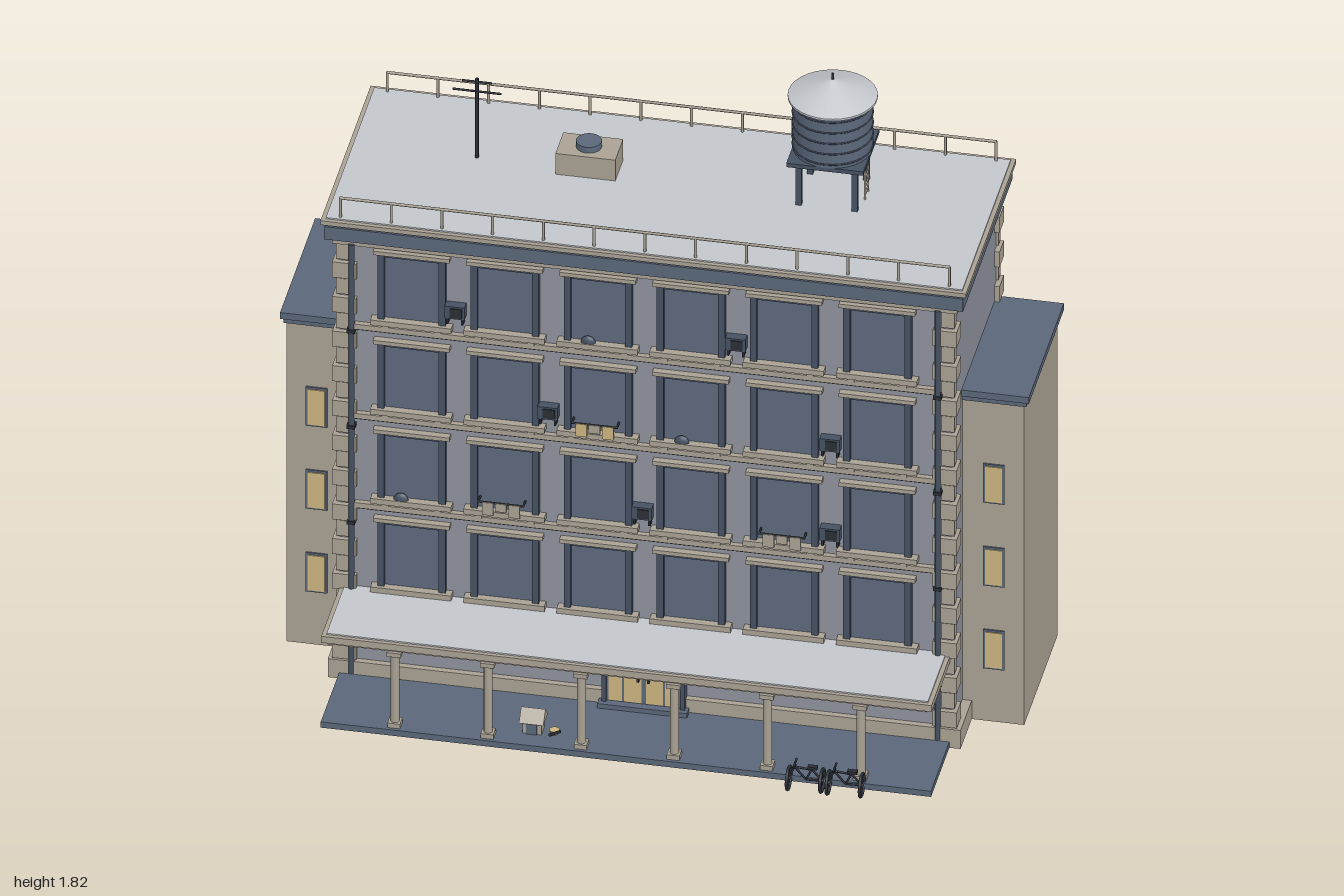
import * as THREE from 'three';

const mat = (name, color) => {
  const m = new THREE.MeshStandardMaterial({ color });
  m.name = name;
  return m;
};

export function createModel() {
  const wall = mat('wall grey', 0x8f939d);
  const stone = mat('beige stone', 0xaaa294);
  const slate = mat('slate blue', 0x5b687b);
  const frame = mat('dark slate frame', 0x465163);
  const glass = mat('window glass', 0x5d6a7e);
  const roofGrey = mat('pale roof', 0xc3c6cb);
  const amber = mat('lit amber', 0xccb581);
  const dark = mat('dark iron', 0x2b2f36);

  const root = new THREE.Group();
  root.name = 'apartmentBuilding';
  const group = (name, parent = root) => {
    const g = new THREE.Group();
    g.name = name;
    parent.add(g);
    return g;
  };
  const add = (p, name, geo, m, x = 0, y = 0, z = 0) => {
    const mesh = new THREE.Mesh(geo, m);
    mesh.name = name;
    mesh.position.set(x, y, z);
    p.add(mesh);
    return mesh;
  };
  // Box given by its limits on each axis
  const box = (p, name, m, x0, x1, y0, y1, z0, z1) =>
    add(p, name, new THREE.BoxGeometry(x1 - x0, y1 - y0, z1 - z0), m, (x0 + x1) / 2, (y0 + y1) / 2, (z0 + z1) / 2);
  // Thin rod between two points
  const rod = (p, name, m, a, b, r, n = 6) => {
    const A = new THREE.Vector3(...a), B = new THREE.Vector3(...b);
    const mesh = add(p, name, new THREE.CylinderGeometry(r, r, A.distanceTo(B), n), m);
    mesh.position.copy(A).add(B).multiplyScalar(0.5);
    mesh.quaternion.setFromUnitVectors(new THREE.Vector3(0, 1, 0), B.sub(A).normalize());
    return mesh;
  };

  // Main block, plinth and cornice
  const body = group('mainBlock');
  box(body, 'walls', wall, -0.82, 0.82, 0.03, 1.39, -0.43, 0.155);
  box(body, 'plinth', stone, -0.845, 0.845, 0.01, 0.068, -0.447, 0.172);
  box(body, 'corniceMoulding', stone, -0.835, 0.835, 1.37, 1.388, -0.442, 0.168);
  box(body, 'corniceBand', slate, -0.853, 0.853, 1.388, 1.428, -0.46, 0.18);
  box(body, 'corniceFillet', stone, -0.846, 0.846, 1.428, 1.436, -0.452, 0.172);
  box(body, 'corniceCap', stone, -0.862, 0.862, 1.436, 1.449, -0.467, 0.186);
  box(body, 'roofSurface', roofGrey, -0.85, 0.85, 1.445, 1.453, -0.455, 0.174);

  // Alternating corner quoins
  const quoins = group('quoins');
  const step = 1.302 / 24;
  for (let i = 0; i < 24; i++) {
    const big = i % 2 === 0, y = 0.068 + i * step;
    const out = big ? 0.014 : 0.006, len = big ? 0.05 : 0.028;
    for (const s of [-1, 1]) {
      const x0 = s * (0.82 + out), x1 = s * (0.82 - len);
      const a = Math.min(x0, x1), b = Math.max(x0, x1);
      box(quoins, 'frontQuoin', stone, a, b, y + 0.003, y + step - 0.003, 0.155 - len + 0.008, 0.155 + out);
      box(quoins, 'backQuoin', stone, a, b, y + 0.003, y + step - 0.003, -0.43 - out, -0.43 + len - 0.008);
    }
  }

  // Storey bands and downpipes
  const facade = group('facadeTrim');
  for (const y of [0.285, 0.558, 0.838, 1.118]) {
    box(facade, 'storeyBand', stone, -0.775, 0.775, y - 0.008, y + 0.008, 0.15, 0.17);
    box(facade, 'storeyBandShadowLine', frame, -0.775, 0.775, y - 0.013, y - 0.008, 0.15, 0.164);
  }
  for (const s of [-1, 1]) {
    rod(facade, 'downpipe', frame, [s * 0.783, 0.03, 0.168], [s * 0.783, 1.375, 0.168], 0.008, 8);
    for (const y of [0.2, 0.5, 0.8, 1.1]) box(facade, 'pipeClip', dark, s * 0.783 - 0.011, s * 0.783 + 0.011, y, y + 0.01, 0.15, 0.178);
  }

  // Four rows of six windows
  const columns = [-0.622, -0.373, -0.124, 0.124, 0.373, 0.622];
  for (const y of [0.31, 0.588, 0.868, 1.148]) {
    for (const x of columns) {
      const w = group('window');
      w.position.set(x, y, 0.155);
      box(w, 'glass', glass, -0.078, 0.078, 0, 0.205, 0, 0.004);
      for (const s of [-1, 1]) {
        box(w, 'jamb', frame, s * 0.082 - 0.009, s * 0.082 + 0.009, 0.004, 0.208, 0, 0.016);
        box(w, 'sillBracket', stone, s * 0.07 - 0.009, s * 0.07 + 0.009, -0.026, -0.008, 0, 0.018);
      }
      box(w, 'headRail', frame, -0.091, 0.091, 0.196, 0.205, 0, 0.012);
      box(w, 'lintel', stone, -0.102, 0.102, 0.205, 0.217, 0, 0.02);
      box(w, 'sill', stone, -0.108, 0.108, -0.012, 0.004, 0, 0.026);
    }
  }

  // Air conditioners between the windows
  for (const [x, y] of [[-0.505, 1.2], [0.245, 1.2], [-0.257, 0.918], [0.497, 0.918], [-0.005, 0.637], [0.497, 0.637]]) {
    const ac = group('airConditioner');
    ac.position.set(x, y, 0.155);
    box(ac, 'casing', frame, -0.027, 0.027, -0.016, 0.022, 0, 0.026);
    box(ac, 'grille', dark, -0.012, 0.02, -0.011, 0.017, 0.026, 0.029);
    for (const s of [-1, 1]) box(ac, 'bracket', dark, s * 0.02 - 0.003, s * 0.02 + 0.003, -0.034, -0.016, 0, 0.024);
  }

  // Laundry racks and small sill ornaments
  for (const [x, y, m] of [[-0.13, 0.888, amber], [-0.38, 0.608, stone], [0.37, 0.608, stone]]) {
    const rack = group('laundryRack');
    rack.position.set(x, y, 0.185);
    rod(rack, 'line', dark, [-0.062, 0.016, 0], [0.062, 0.016, 0], 0.003);
    [-0.035, 0, 0.036].forEach((cx, i) => box(rack, 'cloth', i === 1 ? stone : m, cx - 0.015, cx + 0.015, i === 1 ? -0.008 : -0.022, 0.017, -0.003, 0.004));
    for (const s of [-1, 1]) rod(rack, 'arm', dark, [s * 0.06, 0.016, -0.03], [s * 0.06, 0.016, 0], 0.003);
  }
  for (const [x, y] of [[-0.15, 1.152], [0.1, 0.872], [-0.65, 0.592]]) {
    const pot = add(facade, 'sillOrnament', new THREE.SphereGeometry(0.02, 10, 5, 0, Math.PI * 2, 0, Math.PI / 2), frame, x, y, 0.17);
    pot.scale.z = 0.5;
  }

  // Side wings with narrow lit windows
  for (const s of [-1, 1]) {
    const wing = group(s > 0 ? 'leftWing' : 'rightWing');
    const wbox = (name, m, a, b, ...r) => box(wing, name, m, Math.min(s * a, s * b), Math.max(s * a, s * b), ...r);
    wbox('wingWalls', stone, 0.8, 0.985, 0.01, 1.02, -0.405, 0.027);
    wbox('wingEaves', slate, 0.8, 0.992, 1.012, 1.027, -0.41, 0.033);
    wbox('wingRoof', slate, 0.8, 1, 1.027, 1.047, -0.417, 0.039);
    for (const y of [0.237, 0.497, 0.757]) {
      wbox('windowFrame', slate, 0.876, 0.933, y - 0.061, y + 0.061, 0.025, 0.031);
      wbox('litPane', amber, 0.882, 0.927, y - 0.055, y + 0.055, 0.03, 0.034);
    }
  }

  // Porch with canopy and columns
  const porch = group('porch');
  box(porch, 'porchFloor', slate, -0.815, 0.815, 0.01, 0.028, 0.15, 0.41);
  box(porch, 'canopyEdge', stone, -0.815, 0.815, 0.272, 0.292, 0.15, 0.403);
  box(porch, 'canopyTop', roofGrey, -0.803, 0.803, 0.288, 0.296, 0.15, 0.392);
  box(porch, 'canopyBeam', stone, -0.8, 0.8, 0.262, 0.272, 0.375, 0.392);
  for (const x of columns) {
    box(porch, 'columnBase', stone, x - 0.017, x + 0.017, 0.028, 0.042, 0.367, 0.401);
    rod(porch, 'columnShaft', stone, [x, 0.042, 0.384], [x, 0.25, 0.384], 0.012, 12);
    box(porch, 'columnCapital', stone, x - 0.019, x + 0.019, 0.25, 0.263, 0.365, 0.401);
  }

  // Double entrance door with transom
  const door = group('entrance');
  box(door, 'doorFrame', slate, -0.106, 0.106, 0.028, 0.262, 0.15, 0.178);
  for (const s of [-1, 1]) {
    for (const [a, b] of [[0.006, 0.052], [0.058, 0.094]])
      for (const [y0, y1] of [[0.045, 0.135], [0.143, 0.19], [0.202, 0.25]])
        box(door, 'litPane', amber, Math.min(s * a, s * b), Math.max(s * a, s * b), y0, y1, 0.177, 0.181);
    box(door, 'handle', dark, s * 0.014 - 0.003, s * 0.014 + 0.003, 0.115, 0.15, 0.18, 0.19);
    box(door, 'wallLamp', dark, s * 0.122 - 0.007, s * 0.122 + 0.007, 0.17, 0.21, 0.15, 0.19);
    box(door, 'doorPost', frame, s * 0.105 - 0.006, s * 0.105 + 0.006, 0.028, 0.262, 0.15, 0.186);
  }
  box(door, 'doorstep', slate, -0.12, 0.12, 0.028, 0.042, 0.15, 0.2);

  // Small kennel and bowl on the porch
  const kennel = group('kennel');
  box(kennel, 'kennelBody', stone, -0.287, -0.237, 0.028, 0.068, 0.315, 0.355);
  box(kennel, 'kennelOpening', slate, -0.277, -0.249, 0.028, 0.06, 0.354, 0.358);
  const gable = new THREE.Shape([[-0.03, 0], [0.03, 0], [0, 0.033]].map(p => new THREE.Vector2(...p)));
  const roof = add(kennel, 'kennelRoof', new THREE.ExtrudeGeometry(gable, { depth: 0.065, bevelEnabled: false }), stone, -0.295, 0.064, 0.335);
  roof.rotation.y = Math.PI / 2;
  add(kennel, 'bowl', new THREE.CylinderGeometry(0.014, 0.01, 0.012, 10), amber, -0.205, 0.034, 0.34);
  rod(kennel, 'bone', dark, [-0.215, 0.034, 0.36], [-0.185, 0.05, 0.36], 0.004);

  // Two parked bicycles
  for (const x of [0.44, 0.546]) {
    const bike = group('bicycle');
    bike.position.set(x, 0, 0.43);
    for (const [wx, wz] of [[0, 0.005], [0.088, 0]]) {
      const wheel = add(bike, 'wheel', new THREE.TorusGeometry(0.031, 0.0045, 6, 20), dark, wx, 0.036, wz);
      wheel.rotation.y = Math.PI / 2;
      add(bike, 'hub', new THREE.SphereGeometry(0.006, 8, 6), dark, wx, 0.036, wz);
      for (const a of [0, Math.PI / 3, (2 * Math.PI) / 3]) {
        const c = 0.031 * Math.cos(a), d = 0.031 * Math.sin(a);
        rod(bike, 'spoke', frame, [wx, 0.036 - d, wz - c], [wx, 0.036 + d, wz + c], 0.001, 4);
      }
    }
    const tubes = [[0, 0.036, 0.018, 0.078], [0.018, 0.07, 0.062, 0.066], [0.018, 0.066, 0.045, 0.034], [0.045, 0.034, 0.062, 0.07], [0.045, 0.034, 0.088, 0.036], [0.062, 0.066, 0.088, 0.036]];
    for (const [a, b, c, d] of tubes) rod(bike, 'frameTube', dark, [a, b, 0], [c, d, 0], 0.003);
    rod(bike, 'handlebar', dark, [0.016, 0.081, -0.022], [0.016, 0.081, 0.022], 0.003);
    box(bike, 'saddle', dark, 0.05, 0.076, 0.07, 0.078, -0.007, 0.007);
  }

  // Roof railings along front and back
  const rails = group('roofRailings');
  for (const z of [0.163, -0.444]) {
    rod(rails, 'handrail', stone, [-0.815, 1.512, z], [0.815, 1.512, z], 0.004);
    for (let i = 0; i <= 12; i++) {
      const x = -0.813 + i * 0.1355;
      rod(rails, 'railPost', stone, [x, 1.45, z], [x, 1.512, z], 0.004);
    }
  }

  // Roof vent and antenna
  const vent = group('roofVent');
  box(vent, 'ventBox', stone, -0.303, -0.143, 1.45, 1.518, -0.25, -0.148);
  add(vent, 'ventCap', new THREE.CylinderGeometry(0.034, 0.034, 0.018, 24), slate, -0.224, 1.527, -0.2);
  const antenna = group('antenna');
  rod(antenna, 'mast', dark, [-0.52, 1.45, -0.185], [-0.52, 1.7, -0.185], 0.005);
  rod(antenna, 'upperBar', dark, [-0.56, 1.69, -0.185], [-0.48, 1.69, -0.185], 0.003);
  rod(antenna, 'lowerBar', dark, [-0.585, 1.66, -0.185], [-0.455, 1.66, -0.185], 0.003);

  // Water tower
  const tower = group('waterTower');
  tower.position.set(0.424, 0, -0.215);
  for (const sx of [-1, 1]) for (const sz of [-1, 1])
    box(tower, 'leg', frame, sx * 0.075 - 0.008, sx * 0.075 + 0.008, 1.45, 1.585, sz * 0.075 - 0.008, sz * 0.075 + 0.008);
  box(tower, 'platform', frame, -0.103, 0.103, 1.582, 1.594, -0.103, 0.103);
  add(tower, 'tank', new THREE.CylinderGeometry(0.105, 0.105, 0.162, 32), slate, 0, 1.674, 0);
  for (const y of [1.605, 1.638, 1.671, 1.704, 1.737]) {
    const hoop = add(tower, 'hoop', new THREE.TorusGeometry(0.1055, 0.0025, 5, 32), frame, 0, y, 0);
    hoop.rotation.x = Math.PI / 2;
  }
  add(tower, 'roofRim', new THREE.CylinderGeometry(0.118, 0.118, 0.006, 32), roofGrey, 0, 1.754, 0);
  add(tower, 'coneRoof', new THREE.ConeGeometry(0.118, 0.05, 32), roofGrey, 0, 1.782, 0);
  rod(tower, 'finial', dark, [0, 1.8, 0], [0, 1.823, 0], 0.004);
  for (const s of [-1, 1]) rod(tower, 'ladderRail', stone, [0.09, 1.45, s * 0.02], [0.09, 1.585, s * 0.02], 0.003);
  for (let i = 0; i < 5; i++) rod(tower, 'rung', stone, [0.09, 1.467 + i * 0.025, -0.02], [0.09, 1.467 + i * 0.025, 0.02], 0.0025);

  return root;
}
